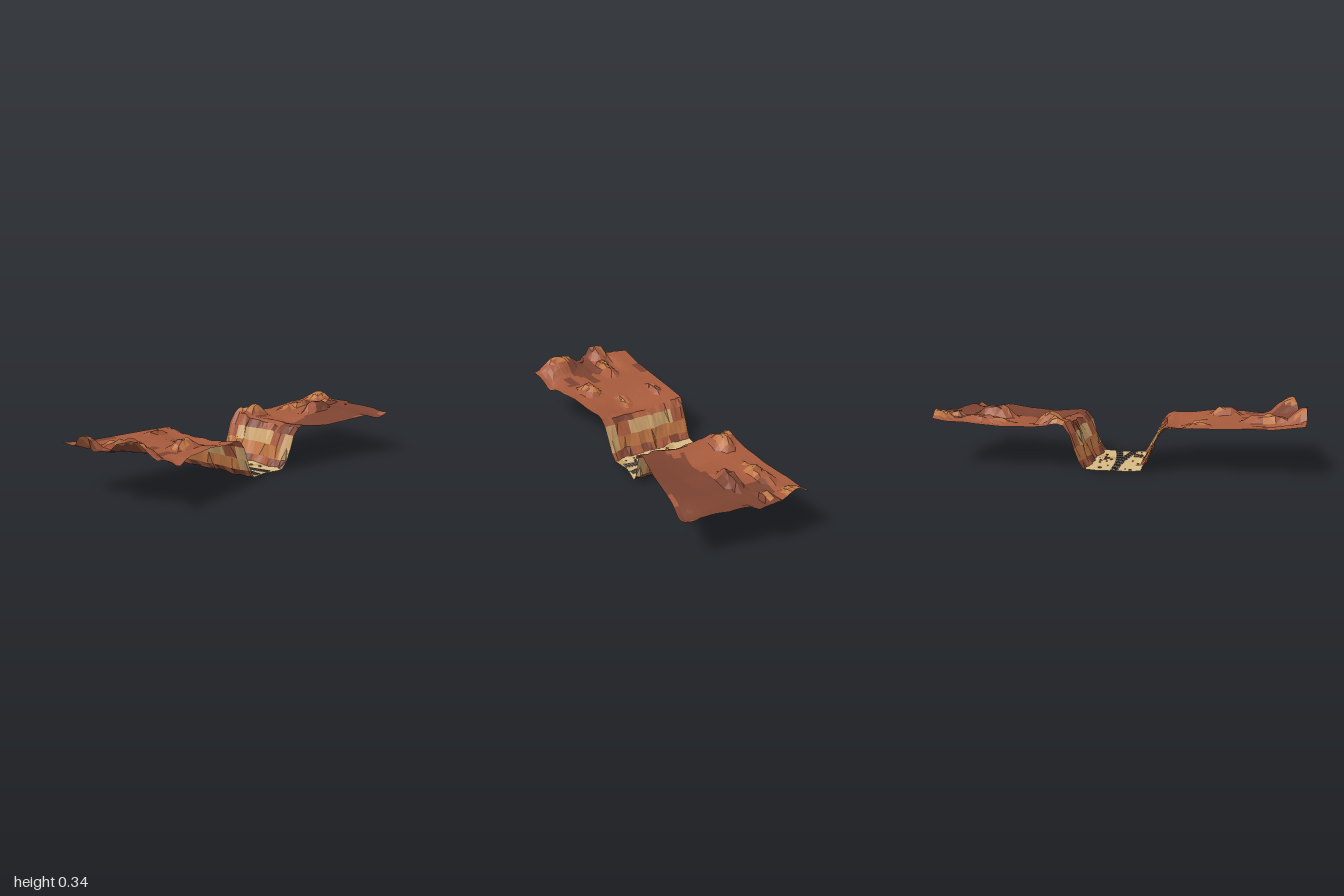
import * as THREE from 'three';
import { mergeGeometries } from 'three/addons/utils/BufferGeometryUtils.js';

const hash = (a, b) => {
  const s = Math.sin(a * 127.1 + b * 311.7) * 43758.5453;
  return s - Math.floor(s);
};

// Smooth value noise in -1..1
function noise(x, y) {
  const i = Math.floor(x), j = Math.floor(y), f = x - i, g = y - j;
  const a = THREE.MathUtils.lerp(hash(i, j), hash(i + 1, j), f);
  const b = THREE.MathUtils.lerp(hash(i, j + 1), hash(i + 1, j + 1), f);
  return THREE.MathUtils.lerp(a, b, g) * 2 - 1;
}

// Linear interpolation along [position, value] pairs
function sample(pts, t) {
  for (let i = 1; i < pts.length; i++) {
    if (t <= pts[i][0]) {
      const [a, va] = pts[i - 1], [b, vb] = pts[i];
      return va + (vb - va) * Math.max(0, (t - a) / (b - a));
    }
  }
  return pts[pts.length - 1][1];
}

// Plateau heights by distance from the track
const FRONT = [[0.28, 0.246], [0.5, 0.248], [0.65, 0.247], [0.8, 0.245], [0.9, 0.26], [0.98, 0.27]];
const BACK = [[0.28, 0.245], [0.45, 0.225], [0.6, 0.227], [0.78, 0.245], [0.9, 0.24], [0.98, 0.255]];
// Canyon wall profile: distance, height
const WALL = [[0.132, 0.012], [0.162, 0.05], [0.187, 0.12], [0.217, 0.19], [0.25, 0.235]];

// Rocks as flat-topped mounds: x, z, x radius, z radius, height
const ROCKS = [
  [-0.12, 1.0, 0.06, 0.1, 0.07], [0.17, 0.97, 0.11, 0.1, 0.065], [-0.1, 0.77, 0.035, 0.1, 0.045],
  [0.12, 0.57, 0.045, 0.08, 0.045], [-0.24, 0.42, 0.025, 0.06, 0.02], [-0.02, 0.4, 0.03, 0.06, 0.015],
  [-0.23, -0.35, 0.045, 0.07, 0.06], [-0.29, -0.3, 0.03, 0.04, 0.035], [-0.05, -0.69, 0.035, 0.09, 0.06],
  [-0.22, -0.7, 0.04, 0.13, 0.03], [-0.24, -0.96, 0.06, 0.07, 0.04], [-0.13, -0.9, 0.03, 0.05, 0.03],
];
// Soft hollows, same order
const HOLLOWS = [
  [-0.04, 0.33, 0.18, 0.11, -0.055], [0.3, 0.8, 0.06, 0.07, -0.035], [-0.18, 0.85, 0.03, 0.1, -0.025],
  [0.06, -0.41, 0.16, 0.1, -0.028], [0.3, -0.92, 0.06, 0.08, -0.03],
];

const spread = ([bx, bz, rx, rz], x, z) => ((x - bx) / rx) ** 2 + ((z - bz) / rz) ** 2;
const rockMask = (x, z) => ROCKS.reduce((m, r) => Math.max(m, Math.exp(-(spread(r, x, z) ** 2))), 0);

function plateauHeight(x, z) {
  let y = sample(z > 0 ? FRONT : BACK, Math.abs(z)) + 0.006 * noise(x * 8 + 3, z * 8);
  for (const r of ROCKS) y += r[4] * Math.exp(-(spread(r, x, z) ** 2));
  for (const h of HOLLOWS) y += h[4] * Math.exp(-spread(h, x, z));
  return y;
}

// Rows across the canyon: { kind, d (signed distance), y }
function makeRows() {
  const side = WALL.map(([d, y], k) => ({ kind: 'wall', d, y, k }));
  for (let i = 0; i <= 22; i++) side.push({ kind: 'plateau', d: 0.28 + (0.7 * i) / 22 });
  const floor = [-0.095, 0, 0.095].map((d) => ({ kind: 'floor', d, y: 0.008 }));
  return [...side.map((r) => ({ ...r, d: -r.d })).reverse(), ...floor, ...side];
}

function gridPoint(row, u) {
  const s = Math.sign(row.d);
  let x = -0.325 + u * (0.485 + 0.175 * Math.abs(row.d));
  let z = row.d, y = row.y;
  // Gullies and buttresses run up the whole wall
  const gully = 0.02 * noise(x * 11 + 20 * s, 5.5) - 0.03 * x;
  if (row.kind === 'wall') {
    z += s * (gully + 0.014 * noise(x * 36, row.k * 1.7 + 9 * s));
    if (row.k === 0) y += 0.006 * noise(x * 20, 31 * s);
    if (row.k === 4) y += 0.01 * noise(x * 20, 40 * s) + (plateauHeight(x, 0.3 * s) - 0.246) * 0.6;
  } else if (row.kind === 'plateau') {
    y = plateauHeight(x, z);
    // Rocks get broken, angular faces
    const rough = rockMask(x, z);
    if (u > 0 && u < 1) x += 0.02 * rough * (hash(x * 91, z * 57) - 0.5);
    y += 0.016 * rough * (hash(x * 33, z * 71) - 0.6);
    // The rim follows the gullies
    z += s * gully * (1 - THREE.MathUtils.smoothstep(Math.abs(z), 0.28, 0.42));
    // The plateau bends back on the curved half of the line
    const end = x < 0 ? 1 + 0.02 * (x + 0.325) / 0.325 : 0.98 - 0.15 * x;
    z *= 1 + (end - 1) * THREE.MathUtils.smoothstep(Math.abs(z), 0.3, 0.9);
    z += s * 0.006 * noise(x * 35, row.d * 30);
  }
  return new THREE.Vector3(x, y, z);
}

const COLORS = {
  redRock: 0xa65a3c, darkRock: 0x7d4331, orangeRock: 0xbf7644, paleRock: 0xcaa06c, sand: 0xd6ba84, paleSand: 0xc4a066,
};

// Rock colour by height band on the walls, by blocky patches on the plateau
function rockColor(row, p) {
  const patch = hash(Math.floor(p.x * 15), Math.floor(p.z * 9));
  if (row.kind === 'floor') return patch > 0.75 ? 'paleSand' : 'sand';
  if (row.kind === 'wall') {
    if (p.y < 0.05) return patch > 0.35 ? 'redRock' : 'darkRock';
    if (p.y < 0.12) return p.x < 0.12 ? 'orangeRock' : 'paleRock';
    if (p.y < 0.19) return (p.x > -0.23 && p.x < 0.04) || p.x > 0.13 ? 'paleRock' : 'redRock';
    return patch > 0.5 ? 'redRock' : 'darkRock';
  }
  if (rockMask(p.x, p.z) > 0.45 && patch > 0.4) return 'orangeRock';
  const big = noise(Math.floor(p.x * 15) / 3 + 7, Math.floor(p.z * 9) / 2);
  return big + patch * 0.25 + (p.z < 0 ? -1.2 * p.x : 0) * 0.6 < -0.12 ? 'darkRock' : 'redRock';
}

const material = (color) => new THREE.MeshStandardMaterial({ color, flatShading: true, side: THREE.DoubleSide });

function makeTerrain() {
  const group = new THREE.Group();
  group.name = 'canyonTerrain';
  const rows = makeRows(), columns = 24, buckets = {};
  for (let r = 0; r < rows.length - 1; r++) {
    const a = rows[r], b = rows[r + 1];
    // Strips next to the floor belong to the floor, rim strips to the plateau
    const owner = [a, b].find((q) => q.kind === 'floor') || [a, b].find((q) => q.kind === 'plateau') || a;
    for (let c = 0; c < columns; c++) {
      const [p, q, s, t] = [[a, c], [a, c + 1], [b, c], [b, c + 1]].map(([row, i]) => gridPoint(row, i / columns));
      const center = p.clone().add(q).add(s).add(t).multiplyScalar(0.25);
      const list = (buckets[rockColor(owner, center)] ??= []);
      const tris = (r + c) % 2 ? [p, s, q, q, s, t] : [p, s, t, p, t, q];
      for (const v of tris) list.push(v.x, v.y, v.z);
    }
  }
  for (const [name, list] of Object.entries(buckets)) {
    const geo = new THREE.BufferGeometry();
    geo.setAttribute('position', new THREE.Float32BufferAttribute(list, 3));
    geo.computeVertexNormals();
    const mesh = new THREE.Mesh(geo, material(COLORS[name]));
    mesh.name = name;
    group.add(mesh);
  }
  return group;
}

// One branch of the railway: gravel bed, sleepers and two rails
function makeTrack(side) {
  const zAt = (x) => side * 0.045 * Math.max(0, (x + 0.2) / 0.36) ** 1.6;
  const beds = [], sleepers = [], rails = [];
  const piece = (list, x, z, y, len, h, w, angle) =>
    list.push(new THREE.BoxGeometry(len, h, w).rotateY(-angle).translate(x, y, z));
  const n = 48, step = 0.48 / n;
  for (let i = 0; i < n; i++) {
    const x = -0.325 + (i + 0.5) * step, z = zAt(x);
    const angle = Math.atan2(zAt(x + step / 2) - zAt(x - step / 2), step);
    piece(beds, x, z, 0.0088, step * 1.03, 0.001, 0.042, angle);
    piece(sleepers, x, z, 0.0097, step * 0.4, 0.001, 0.034, angle);
    for (const o of [-0.01, 0.01]) piece(rails, x, z + o, 0.0107, step * 1.03, 0.002, 0.0025, angle);
  }
  const group = new THREE.Group();
  group.name = side > 0 ? 'frontTrack' : 'backTrack';
  for (const [name, list, color] of [['gravelBed', beds, 0x85796a], ['sleepers', sleepers, 0x5c5048], ['rails', rails, 0x6c6e74]]) {
    const mesh = new THREE.Mesh(mergeGeometries(list), material(color));
    mesh.name = name;
    group.add(mesh);
  }
  return group;
}

// Loose stones on the canyon floor
function makeStones() {
  const stones = [];
  for (let i = 0; i < 26; i++) {
    const r = 0.004 + 0.006 * hash(i, 1);
    const x = -0.3 + 0.44 * hash(i, 2);
    const z = (i % 2 ? 1 : -1) * (0.05 + 0.06 * hash(i, 3));
    stones.push(new THREE.IcosahedronGeometry(r, 0).rotateY(i).scale(1.2, 0.7, 1).translate(x, 0.009, z));
  }
  const mesh = new THREE.Mesh(mergeGeometries(stones), material(0x7a4a30));
  mesh.name = 'looseStones';
  return mesh;
}

export function createModel() {
  const model = new THREE.Group();
  model.name = 'railwayCanyon';
  model.add(makeTerrain(), makeTrack(1), makeTrack(-1), makeStones());
  return model;
}
